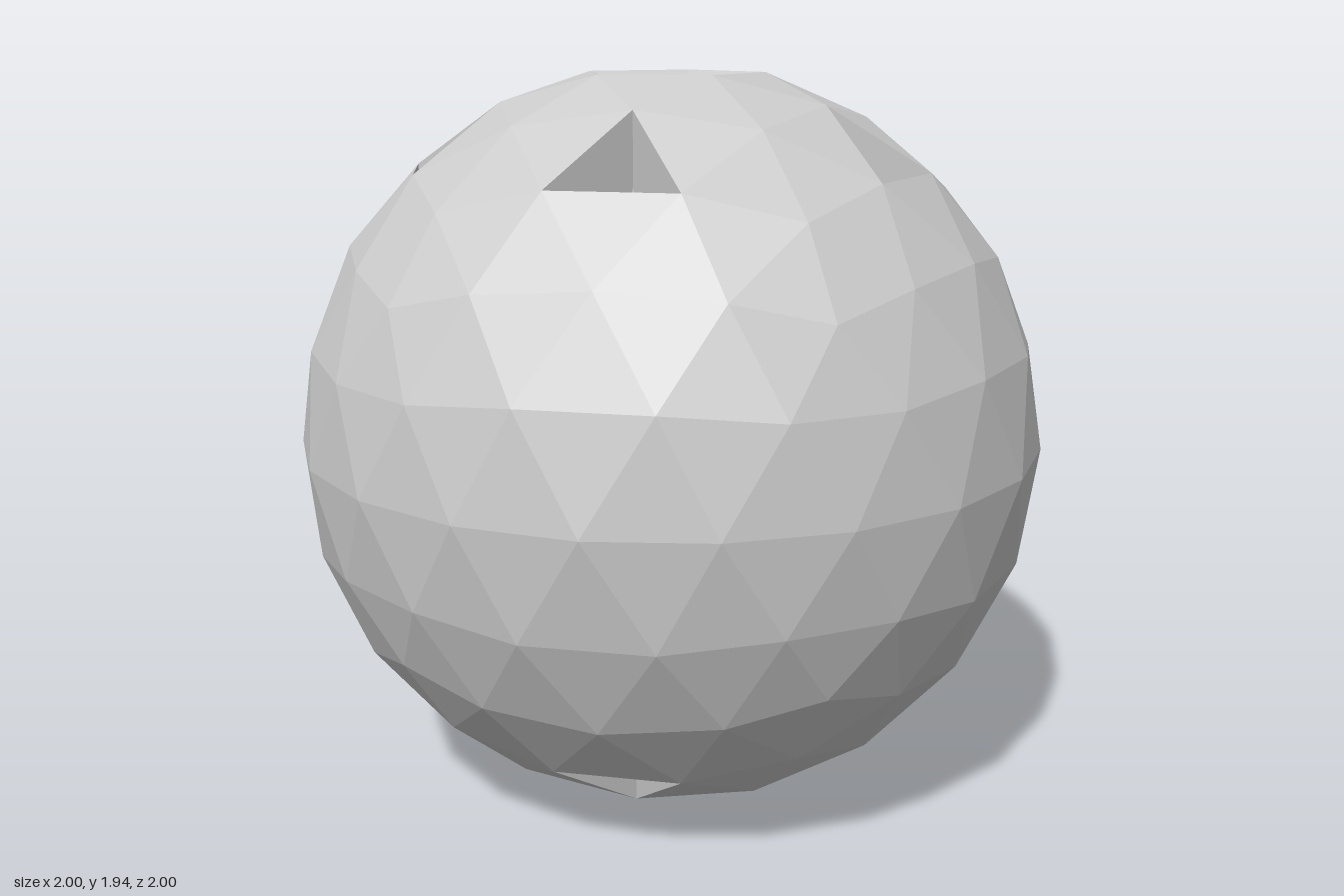
import * as THREE from 'three';

const V = (x, y, z) => new THREE.Vector3(x, y, z);
const polar = (r, y, deg) => V(r * Math.cos(deg * Math.PI / 180), y, r * Math.sin(deg * Math.PI / 180));
const CENTRE = 0.968; // height of the equator
const FREQ = 4;       // cells along each icosahedron edge

// Collects triangles, turning each so its normal agrees with a wanted direction
class Facets {
  constructor() { this.tris = []; }
  add(a, b, c, want) {
    const n = b.clone().sub(a).cross(c.clone().sub(a));
    if (n.length() < 1e-9) return;
    this.tris.push(n.dot(want) > 0 ? [a, b, c] : [a, c, b]);
  }
  quad(a, b, c, d, want) {
    this.add(a, b, c, want);
    this.add(a, c, d, want);
  }
  // flip = -1 mirrors the half below the equator
  geometry(flip) {
    const out = [];
    for (const [a, b, c] of this.tris)
      for (const p of flip > 0 ? [a, b, c] : [a, c, b]) out.push(p.x, p.y * flip, p.z);
    const g = new THREE.BufferGeometry();
    g.setAttribute('position', new THREE.Float32BufferAttribute(out, 3));
    g.computeVertexNormals();
    return g;
  }
}

// Splits one icosahedron face into cells projected on the sphere
function splitFace(A, B, C, visit) {
  const point = (i, j) => {
    const k = FREQ - i - j;
    const p = A.clone().multiplyScalar(k).addScaledVector(B, i).addScaledVector(C, j).normalize();
    return { p, w: [k, i, j] };
  };
  for (let i = 0; i < FREQ; i++)
    for (let j = 0; j < FREQ - i; j++) {
      visit([point(i, j), point(i + 1, j), point(i, j + 1)]);
      if (i + j < FREQ - 1) visit([point(i + 1, j), point(i + 1, j + 1), point(i, j + 1)]);
    }
}

// Vertical three-sided shaft whose corners become rounded further down
function buildPit(corners) {
  const f = new Facets();
  const mid = corners[0].clone().add(corners[1]).add(corners[2]).divideScalar(3);
  const rim = [], round = [];
  corners.forEach((p, n) => {
    const toward = (q) => V(q.x - p.x, 0, q.z - p.z).setLength(0.035).add(p);
    const curve = new THREE.QuadraticBezierCurve3(
      toward(corners[(n + 2) % 3]), p, toward(corners[(n + 1) % 3]));
    for (const q of curve.getPoints(5)) { rim.push(p); round.push(q); }
  });
  const at = (p, y) => V(p.x, y, p.z);
  rim.forEach((p, n) => {
    const m = (n + 1) % rim.length;
    const rings = [[p, rim[m]],
      [at(p, 0.715), at(rim[m], 0.715)],
      [at(round[n], 0.6), at(round[m], 0.6)],
      [at(round[n], 0.01), at(round[m], 0.01)]];
    const inward = V(mid.x - (round[n].x + round[m].x) / 2, 0, mid.z - (round[n].z + round[m].z) / 2);
    for (let k = 0; k < 3; k++)
      f.quad(rings[k][0], rings[k][1], rings[k + 1][1], rings[k + 1][0], inward);
    f.add(rings[3][0], rings[3][1], at(mid, 0.01), V(0, 1, 0));
  });
  return f;
}

export function createModel() {
  const model = new THREE.Group();
  model.name = 'facetedSphere';
  const grey = new THREE.MeshStandardMaterial({ color: 0xcccccc });
  grey.name = 'plain grey';

  const shell = new Facets(), dimple = new Facets(), pits = [];
  const pole = V(0, 1, 0), h = 1 / Math.sqrt(5);
  const upper = (k) => polar(2 * h, h, 36 + 72 * k);
  const lower = (k) => polar(2 * h, -h, 72 * k);
  const addCell = (cell) => {
    const [a, b, c] = cell.map((v) => v.p);
    shell.add(a, b, c, a.clone().add(b).add(c));
  };

  for (let k = 0; k < 5; k++) {
    // Cap face: central cell is a pit, pole cell is left to the dimple
    splitFace(pole, upper(k), upper(k + 1), (cell) => {
      if (cell.some((v) => v.w[0] === FREQ)) return;
      if (cell.every((v) => Math.min(...v.w) > 0)) pits.push(buildPit(cell.map((v) => v.p)));
      else addCell(cell);
    });
    // Belt faces, kept down to the equator
    const keepTop = (cell) => { if (cell.every((v) => v.p.y > -1e-6)) addCell(cell); };
    splitFace(upper(k), upper(k + 1), lower(k + 1), keepTop);
    splitFace(upper(k), lower(k), lower(k + 1), keepTop);

    // Sunken five-sided dimple with a low peak
    const ring = (r, y, n) => polar(r, y, 36 + 72 * n);
    const r1 = 0.2511, y1 = 0.968, r2 = 0.11, y2 = 0.92;
    const up = V(0, 1, 0);
    dimple.quad(ring(r1, y1, k), ring(r1, y1, k + 1), ring(r2, y2, k + 1), ring(r2, y2, k), up);
    dimple.add(ring(r2, y2, k), ring(r2, y2, k + 1), V(0, 0.95, 0), up);
  }

  // Both halves are mirror images across the equator
  for (const [flip, half] of [[1, 'upper'], [-1, 'lower']]) {
    const group = new THREE.Group();
    group.name = half + 'Half';
    group.position.y = CENTRE;
    const add = (facets, name) => {
      const mesh = new THREE.Mesh(facets.geometry(flip), grey);
      mesh.name = name;
      group.add(mesh);
    };
    add(shell, half + 'Shell');
    add(dimple, half + 'Dimple');
    pits.forEach((p, n) => add(p, half + 'Pit' + (n + 1)));
    model.add(group);
  }
  return model;
}
